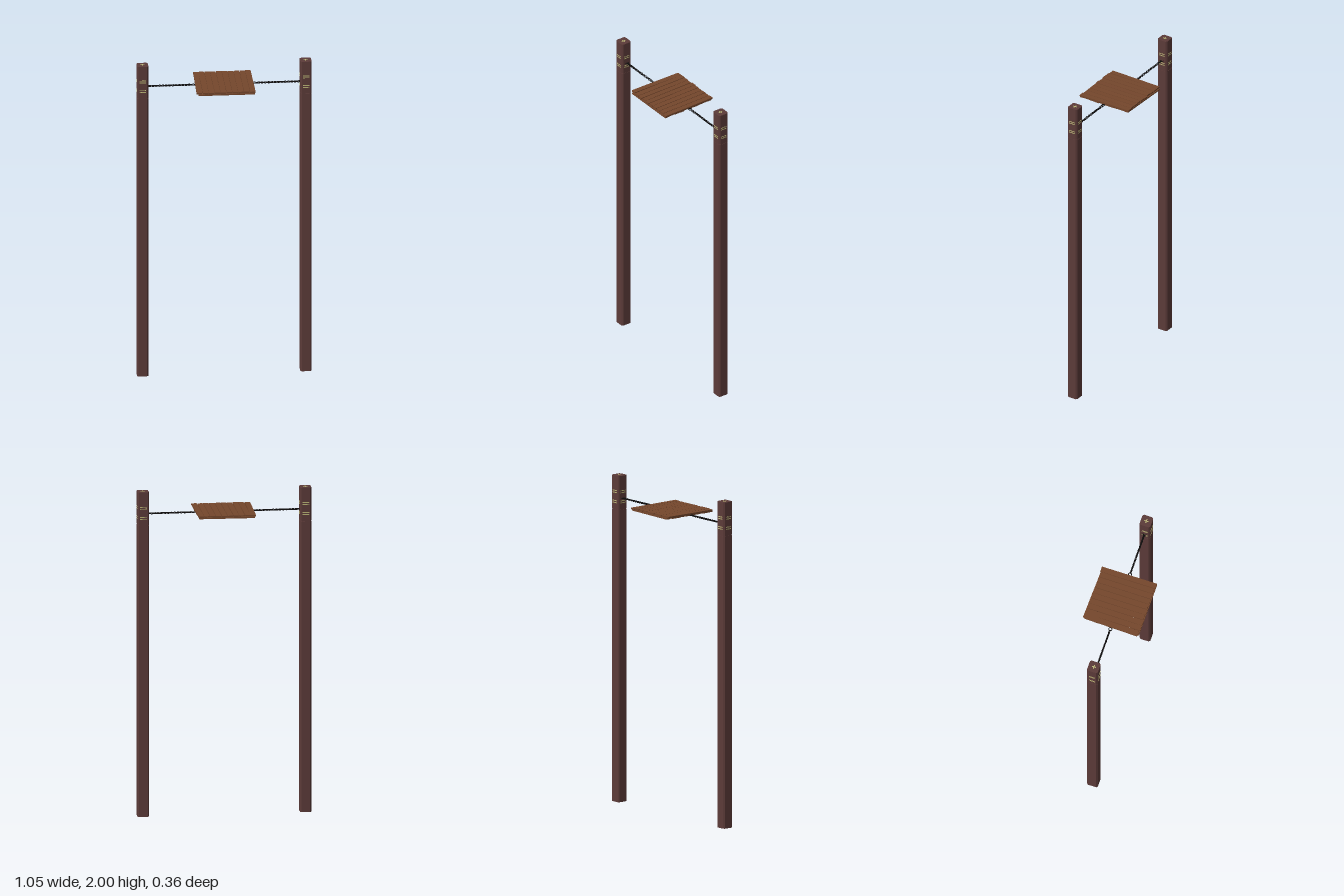
import * as THREE from 'three';

const paint = (name, color) => {
  const m = new THREE.MeshStandardMaterial({ color });
  m.name = name;
  return m;
};

export function createModel() {
  const postBrown = paint('post brown', 0x5c3b39);
  const plankBrown = paint('plank brown', 0x75472c);
  const chainBlack = paint('chain black', 0x100e0e);
  const paleYellow = paint('pale yellow', 0xbdb878);

  const model = new THREE.Group();
  model.name = 'hangingPlatform';
  const add = (parent, name, geometry, material, x = 0, y = 0, z = 0) => {
    const mesh = new THREE.Mesh(geometry, material);
    mesh.name = name;
    mesh.position.set(x, y, z);
    parent.add(mesh);
    return mesh;
  };

  // Square prism with chamfered corners, standing on y = 0
  const prism = (half, cut, height) => {
    const a = half, b = half - cut;
    const outline = [[a, -b], [a, b], [b, a], [-b, a], [-a, b], [-a, -b], [-b, -a], [b, -a]];
    const shape = new THREE.Shape(outline.map(([x, y]) => new THREE.Vector2(x, y)));
    return new THREE.ExtrudeGeometry(shape, { depth: height, bevelEnabled: false }).rotateX(-Math.PI / 2);
  };

  // Posts: long shaft, narrow seam and banded head
  const HALF = 0.034;
  const shaft = prism(HALF, 0.008, 1.793);
  const seam = prism(HALF - 0.002, 0.008, 0.004);
  const head = prism(HALF, 0.008, 0.203);
  const band = new THREE.BoxGeometry(0.04, 0.005, 0.002);
  for (const side of [-1, 1]) {
    const post = new THREE.Group();
    post.name = side > 0 ? 'leftPost' : 'rightPost';
    post.position.x = side * 0.491;
    model.add(post);
    add(post, 'shaft', shaft, postBrown);
    add(post, 'seam', seam, postBrown, 0, 1.793);
    add(post, 'head', head, postBrown, 0, 1.797);
    // Painted bands on all four faces
    for (let face = 0; face < 4; face++) {
      const bands = new THREE.Group();
      bands.name = 'faceBands';
      bands.rotation.y = face * Math.PI / 2;
      post.add(bands);
      for (const y of [1.835, 1.847, 1.897, 1.909]) add(bands, 'band', band, paleYellow, 0, y, HALF);
    }
    // Painted cross on the top
    add(post, 'topCrossBar', new THREE.BoxGeometry(0.026, 0.001, 0.006), paleYellow, 0, 2.0002);
    add(post, 'topCrossBar', new THREE.BoxGeometry(0.006, 0.001, 0.026), paleYellow, 0, 2.0002);
  }

  // Seeded jitter for the rough planks
  let seed = 7;
  const jitter = (amount) => {
    seed = (seed * 16807) % 2147483647;
    return (seed / 2147483647 - 0.5) * 2 * amount;
  };

  // Platform: lower planks run across, upper planks run front to back
  const platform = new THREE.Group();
  platform.name = 'platform';
  model.add(platform);
  const COUNT = 10, PITCH = 0.0353;
  for (let i = 0; i < COUNT; i++) {
    const at = (i - (COUNT - 1) / 2) * PITCH;
    const lower = add(platform, 'lowerPlank',
      new THREE.BoxGeometry(0.338 + jitter(0.004), 0.008, 0.0325), plankBrown, 0.001 + jitter(0.003), 1.861, at);
    lower.rotation.y = i === 0 ? -0.03 : jitter(0.005);
    const upper = add(platform, 'upperPlank',
      new THREE.BoxGeometry(0.0325, 0.009, 0.342 + jitter(0.007)), plankBrown, at, 1.87, jitter(0.003));
    upper.rotation.y = i === 0 ? -0.022 : jitter(0.006);
    upper.rotation.z = jitter(0.04);
  }

  // Chains: alternating links with a larger ring at each end
  const link = new THREE.TorusGeometry(0.0052, 0.0019, 6, 10).scale(1.6, 1, 1);
  const ring = new THREE.TorusGeometry(0.010, 0.0025, 6, 14).rotateX(Math.PI / 2);
  const LINKS = 26, START = 0.199, END = 0.447;
  for (const side of [-1, 1]) {
    const chain = new THREE.Group();
    chain.name = side > 0 ? 'leftChain' : 'rightChain';
    chain.position.y = 1.862;
    model.add(chain);
    for (let i = 0; i < LINKS; i++) {
      const x = START + (END - START) * i / (LINKS - 1);
      add(chain, 'link', link, chainBlack, side * x).rotation.x = Math.PI / 4 + i * Math.PI / 2;
    }
    add(chain, 'platformRing', ring, chainBlack, side * 0.184);
    add(chain, 'postRing', ring, chainBlack, side * 0.456);
  }
  return model;
}
